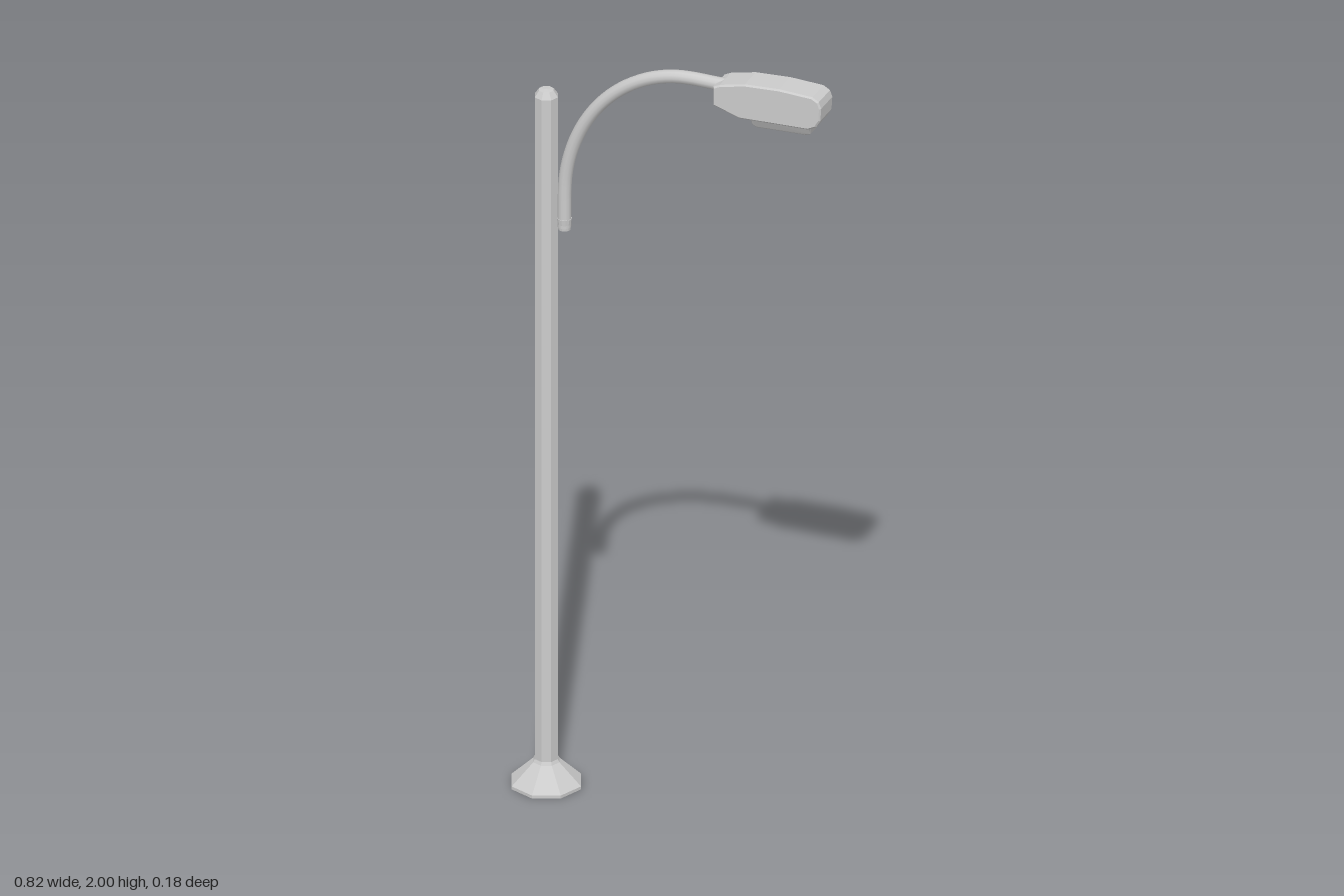
import * as THREE from 'three';

const flat = new THREE.MeshStandardMaterial({ color: 0xcccccc, flatShading: true });
const smooth = new THREE.MeshStandardMaterial({ color: 0xcccccc });

function part(name, geometry, material = flat) {
  const mesh = new THREE.Mesh(geometry, material);
  mesh.name = name;
  return mesh;
}

// Profile in the x/y plane, extruded along z with a small bevel, centred on z = 0
function slab(points, halfWidth, bevel) {
  const shape = new THREE.Shape(points.map(([x, y]) => new THREE.Vector2(x, y)));
  const geometry = new THREE.ExtrudeGeometry(shape, {
    depth: 2 * (halfWidth - bevel), bevelEnabled: true, bevelSegments: 1,
    bevelSize: bevel, bevelOffset: -bevel, bevelThickness: bevel,
  });
  return geometry.translate(0, 0, bevel - halfWidth);
}

export function createModel() {
  const lamp = new THREE.Group();
  lamp.name = 'streetLamp';

  // Octagonal pole: flared foot, shaft and chamfered top
  const pole = new THREE.Group();
  pole.name = 'pole';
  pole.position.x = -0.32;
  const lathe = (profile) => new THREE.LatheGeometry(profile.map(([r, y]) => new THREE.Vector2(r, y)), 8);
  pole.add(
    part('foot', lathe([[0, 0], [0.09, 0], [0.09, 0.008], [0.034, 0.062], [0.03, 0.07]])),
    part('shaft', lathe([[0.03, 0.06], [0.03, 1.848], [0.019, 1.864], [0, 1.866]])),
  );
  lamp.add(pole);

  // Curved arm: short upright, quarter ellipse, level end
  const path = new THREE.CurvePath();
  const arc = [];
  for (let i = 0; i <= 12; i++) {
    const a = (i / 12) * Math.PI / 2;
    arc.push(new THREE.Vector3(0.06 - 0.333 * Math.cos(a), 1.59 + 0.377 * Math.sin(a), 0));
  }
  path.add(new THREE.LineCurve3(new THREE.Vector3(-0.273, 1.505, 0), arc[0]));
  path.add(new THREE.CatmullRomCurve3(arc));
  path.add(new THREE.LineCurve3(arc[12], new THREE.Vector3(0.16, 1.965, 0)));
  lamp.add(part('arm', new THREE.TubeGeometry(path, 40, 0.0165, 12), smooth));

  // Closed lower end of the arm
  const armEnd = part('armEnd', new THREE.CylinderGeometry(0.018, 0.015, 0.03, 12));
  armEnd.position.set(-0.273, 1.513, 0);
  lamp.add(armEnd);

  // Lamp housing with a tapered neck and rounded nose
  lamp.add(part('housing', slab([
    [0.128, 1.925], [0.195, 1.902], [0.375, 1.906], [0.395, 1.916], [0.406, 1.935],
    [0.408, 1.968], [0.402, 1.985], [0.385, 1.995], [0.3, 2.0], [0.21, 1.996],
    [0.145, 1.982], [0.128, 1.974],
  ], 0.039, 0.004)));

  // Lens below the housing, narrowing towards its underside
  const lens = slab([
    [0.222, 1.91], [0.222, 1.885], [0.232, 1.876], [0.36, 1.881], [0.374, 1.887], [0.38, 1.91],
  ], 0.034, 0.003);
  const p = lens.attributes.position;
  for (let i = 0; i < p.count; i++) {
    const t = THREE.MathUtils.clamp((1.905 - p.getY(i)) / 0.028, 0, 1);
    p.setZ(i, p.getZ(i) * (1 - 0.5 * t));
  }
  lens.computeVertexNormals();
  lamp.add(part('lens', lens));

  return lamp;
}
